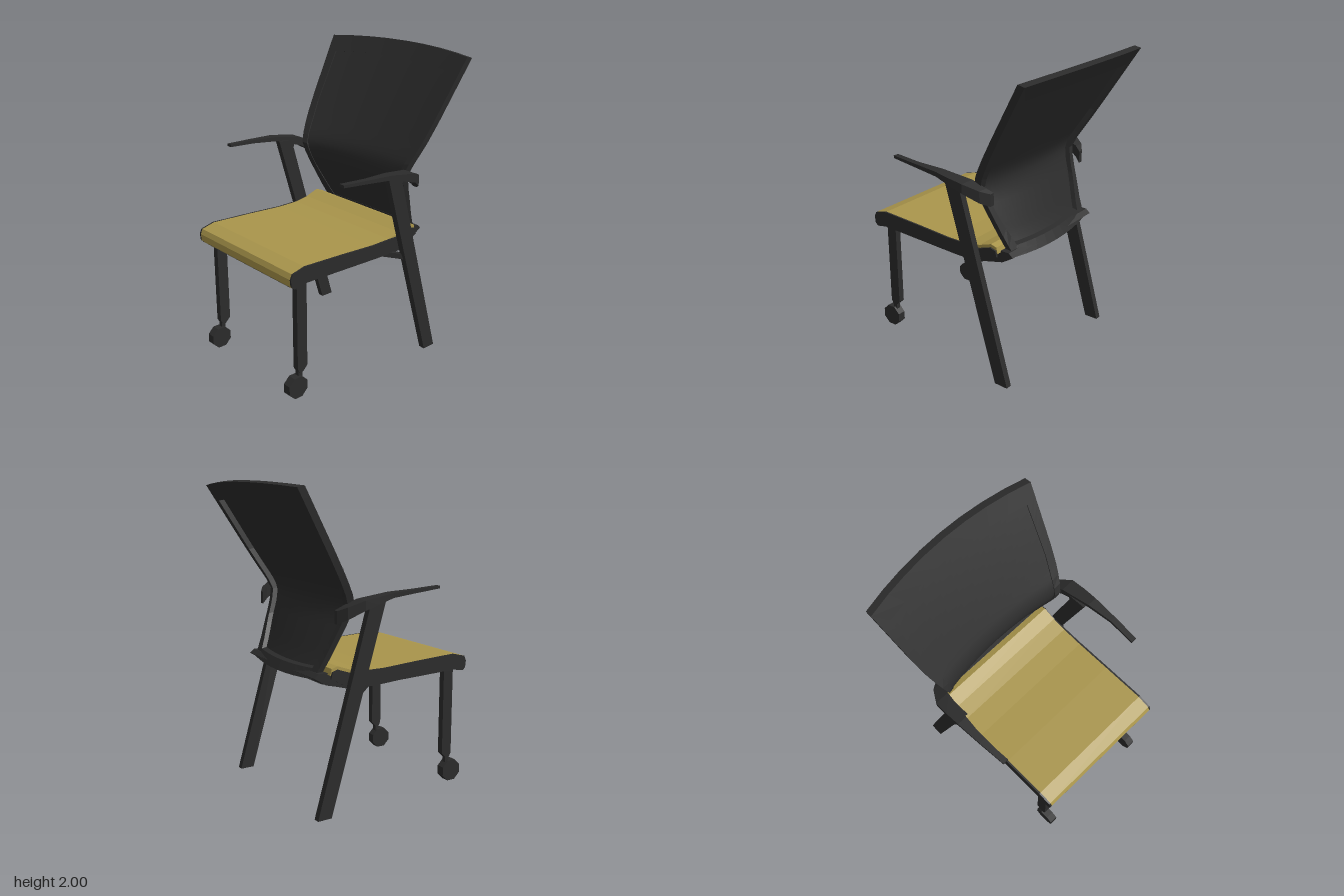
import * as THREE from 'three';

const black = new THREE.MeshStandardMaterial({ name: 'black plastic', color: 0x2b2b2b, side: THREE.DoubleSide });
const fabric = new THREE.MeshStandardMaterial({ name: 'mustard fabric', color: 0xa9954b });

function add(parent, name, geometry, material) {
  const mesh = new THREE.Mesh(geometry, material);
  mesh.name = name;
  parent.add(mesh);
  return mesh;
}

// Side outline given as [z, y] points, extruded to a width along x
function sidePlate(points, x, width) {
  const shape = new THREE.Shape(points.map(([z, y]) => new THREE.Vector2(z, y)));
  const g = new THREE.ExtrudeGeometry(shape, { depth: width, bevelEnabled: false });
  g.translate(0, 0, -width / 2);
  g.rotateY(-Math.PI / 2);
  g.translate(x, 0, 0);
  return g;
}

// Skin through rings of equal length; optional closed path, otherwise capped ends
function loft(rings, closed) {
  const pos = [];
  const tri = (...p) => p.forEach((v) => pos.push(...v));
  const n = rings[0].length;
  const count = closed ? rings.length : rings.length - 1;
  for (let i = 0; i < count; i++) {
    const r = rings[i], q = rings[(i + 1) % rings.length];
    for (let j = 0; j < n; j++) {
      const k = (j + 1) % n;
      tri(r[j], r[k], q[k]);
      tri(r[j], q[k], q[j]);
    }
  }
  if (!closed) {
    const a = rings[0], b = rings[rings.length - 1];
    for (let j = 1; j < n - 1; j++) {
      tri(a[0], a[j + 1], a[j]);
      tri(b[0], b[j], b[j + 1]);
    }
  }
  const g = new THREE.BufferGeometry();
  g.setAttribute('position', new THREE.Float32BufferAttribute(pos, 3));
  g.computeVertexNormals();
  return g;
}

// Piecewise linear lookup
function lookup(table, t) {
  if (t <= table[0][0]) return table[0][1];
  for (let i = 1; i < table.length; i++) {
    const [a, va] = table[i - 1], [b, vb] = table[i];
    if (t <= b) return va + ((vb - va) * (t - a)) / (b - a);
  }
  return table[table.length - 1][1];
}

// Backrest: half widths by height, side bend and backward bow
const outerWidth = [[0.84, 0.385], [0.92, 0.405], [1.1, 0.45], [1.28, 0.49], [1.45, 0.54], [1.6, 0.565], [1.975, 0.612]];
const innerWidth = [[0.9, 0.335], [1.1, 0.41], [1.3, 0.455], [1.55, 0.505], [1.87, 0.535]];
const bend = [[0.84, -0.365], [0.95, -0.31], [1.2, -0.205], [1.28, -0.187], [1.35, -0.215], [1.975, -0.59]];

function backPoint(u, v, inner, depth) {
  const y = inner ? 0.9 + v * 0.97 : 0.84 + v * 1.135;
  const x = u * lookup(inner ? innerWidth : outerWidth, y);
  const f = (x / lookup(outerWidth, y)) ** 2;
  const bow = 0.04 + 0.028 * v;
  const crown = (v - 0.35) * 0.04 * (1 - f);
  return [x, y + crown - depth * 0.2, lookup(bend, y) - bow * (1 - f) - depth];
}

function buildBackrest(group) {
  const back = new THREE.Group();
  back.name = 'backrest';
  group.add(back);

  // Frame: rectangular section swept round the edge
  const path = [];
  const nu = 8, nv = 18;
  for (let i = 0; i < nu; i++) path.push([-1 + (2 * i) / nu, 0]);
  for (let i = 0; i < nv; i++) path.push([1, i / nv]);
  for (let i = 0; i < nu; i++) path.push([1 - (2 * i) / nu, 1]);
  for (let i = 0; i < nv; i++) path.push([-1, 1 - i / nv]);
  const rings = path.map(([u, v]) => [
    backPoint(u, v, false, 0.047), backPoint(u, v, true, 0.042),
    backPoint(u, v, true, 0), backPoint(u, v, false, 0),
  ]);
  add(back, 'backFrame', loft(rings, true), black);

  // Thin panel set inside the frame
  const panel = new THREE.PlaneGeometry(2, 1, 10, 24);
  const p = panel.attributes.position;
  for (let i = 0; i < p.count; i++) {
    p.setXYZ(i, ...backPoint(p.getX(i), p.getY(i) + 0.5, true, 0.006));
  }
  panel.computeVertexNormals();
  add(back, 'backPanel', panel, black);
}

function buildSeat(group) {
  const seat = new THREE.Group();
  seat.name = 'seat';
  group.add(seat);
  const outline = [
    [0.6, 0.78], [0.68, 0.765], [0.7, 0.785], [0.705, 0.83], [0.69, 0.862], [0.6, 0.885],
    [0.3, 0.873], [0.05, 0.86], [-0.1, 0.862], [-0.2, 0.88], [-0.29, 0.912], [-0.33, 0.9],
    [-0.34, 0.86], [-0.2, 0.785], [0, 0.765],
  ];
  add(seat, 'seatCushion', sidePlate(outline, 0, 0.925), fabric);
  const edge = outline.map(([z, y]) => [z, z < -0.15 ? y - 0.02 : y]);
  for (const s of [-1, 1]) add(seat, 'seatEdge', sidePlate(edge, s * 0.468, 0.012), black);

  // Shell under the cushion, turned up to meet the backrest
  const shell = [
    [0.68, 0.763], [0.6, 0.785], [0.3, 0.785], [0, 0.775], [-0.2, 0.8], [-0.34, 0.87],
    [-0.4, 0.87], [-0.43, 0.845], [-0.35, 0.795], [-0.17, 0.75], [0, 0.745], [0.6, 0.777],
  ];
  add(seat, 'seatShell', sidePlate(shell, 0, 0.86), black);
  const pan = [[0.6, 0.79], [0.6, 0.775], [0, 0.73], [-0.17, 0.738], [-0.35, 0.79], [-0.2, 0.8], [0, 0.78]];
  add(seat, 'seatPan', sidePlate(pan, 0, 0.74), black);
}

function buildSide(group, s) {
  const side = new THREE.Group();
  side.name = s > 0 ? 'leftSide' : 'rightSide';
  group.add(side);

  // Sloping rear leg that carries the arm
  add(side, 'rearLeg', sidePlate(
    [[-0.48, 0], [-0.385, 0], [0.005, 1.315], [-0.13, 1.3], [-0.12, 1.25]], s * 0.528, 0.042), black);

  // Armrest sections from back to front: z, inner x, outer x, bottom y, top y
  const arm = [
    [-0.31, 0.46, 0.49, 1.17, 1.25], [-0.27, 0.48, 0.545, 1.2, 1.275], [-0.18, 0.5, 0.597, 1.255, 1.315],
    [-0.08, 0.515, 0.6, 1.285, 1.33], [0.02, 0.53, 0.597, 1.315, 1.345],
    [0.2, 0.547, 0.587, 1.33, 1.353], [0.39, 0.535, 0.573, 1.343, 1.36],
  ];
  add(side, 'armrest', loft(arm.map(([z, a, b, y0, y1]) => {
    const x0 = Math.min(s * a, s * b), x1 = Math.max(s * a, s * b);
    return [[x0, y0, z], [x1, y0, z], [x1, y1, z], [x0, y1, z]];
  })), black);

  // Strut between rear leg and seat
  const from = new THREE.Vector3(s * 0.53, 0.735, -0.2), to = new THREE.Vector3(s * 0.41, 0.775, -0.03);
  const strut = add(side, 'seatStrut', new THREE.BoxGeometry(0.03, 0.035, from.distanceTo(to)), black);
  strut.position.copy(from).lerp(to, 0.5);
  strut.lookAt(to);

  // Front leg with caster
  add(side, 'frontLeg', sidePlate(
    [[0.63, 0.79], [0.555, 0.79], [0.555, 0.2], [0.59, 0.165], [0.615, 0.165], [0.63, 0.195]], s * 0.412, 0.042), black);
  const neck = add(side, 'casterStem', new THREE.BoxGeometry(0.028, 0.08, 0.03), black);
  neck.position.set(s * 0.412, 0.15, 0.605);
  const wheel = new THREE.CylinderGeometry(0.076, 0.076, 0.056, 8).toNonIndexed();
  wheel.rotateZ(Math.PI / 2);
  wheel.rotateX(Math.PI / 8);
  wheel.computeVertexNormals();
  add(side, 'casterWheel', wheel, black).position.set(s * 0.412, 0.071, 0.632);
}

export function createModel() {
  const group = new THREE.Group();
  group.name = 'armchair';
  buildBackrest(group);
  buildSeat(group);
  for (const s of [-1, 1]) buildSide(group, s);
  return group;
}
